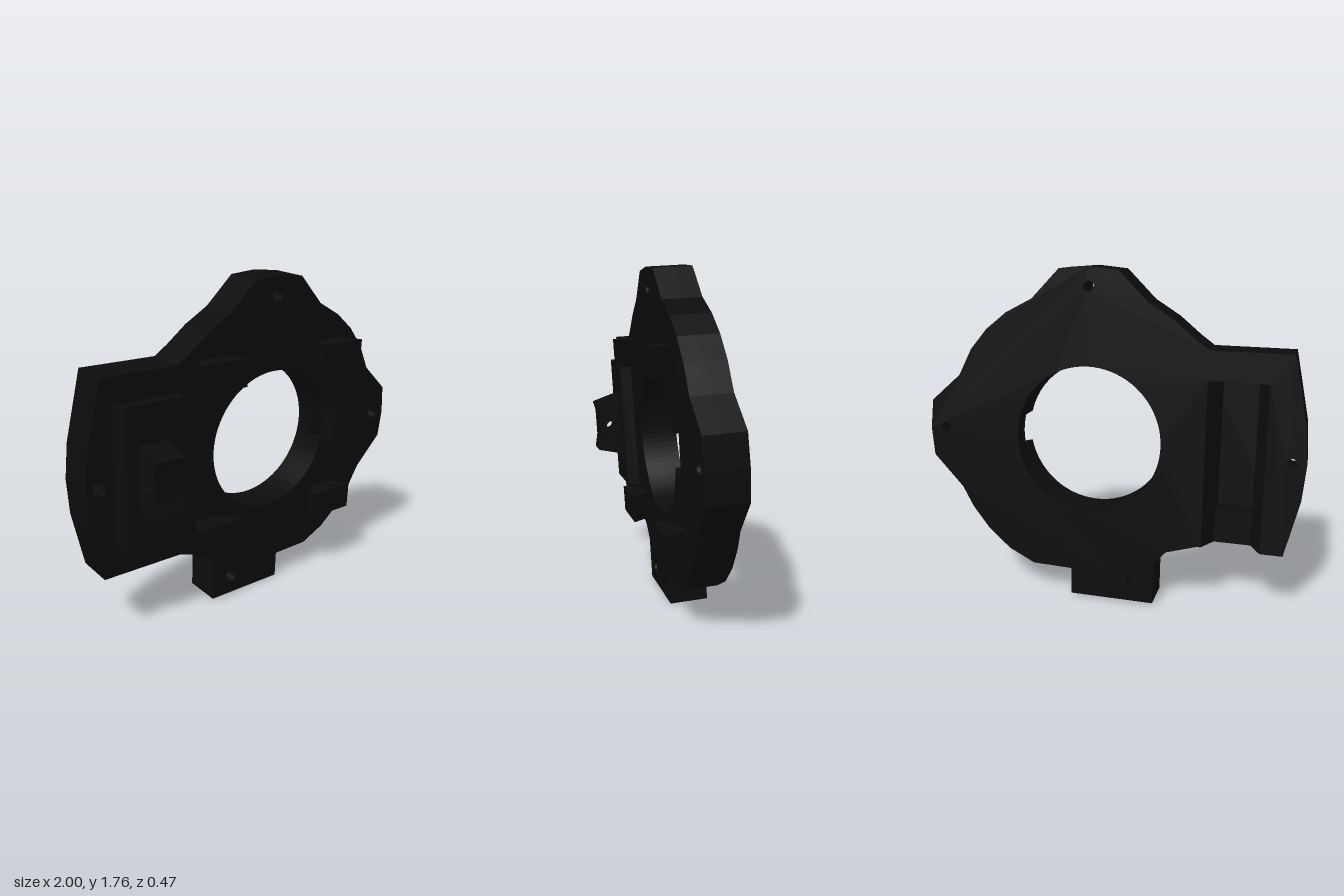
import * as THREE from 'three';

export function createModel() {
  const model = new THREE.Group();
  model.name = 'mountingPlate';
  const black = new THREE.MeshStandardMaterial({ color: 0x0c0c0c });
  black.name = 'matte black';

  // Everything is built upright with the plate's front face at z = 0, then tilted
  const plate = new THREE.Group();
  plate.name = 'tiltedPlate';
  plate.rotation.x = 0.065;
  plate.position.set(0, 0.002, -0.032);
  model.add(plate);

  const add = (name, geometry) => {
    const mesh = new THREE.Mesh(geometry, black);
    mesh.name = name;
    plate.add(mesh);
    return mesh;
  };
  const shapeOf = (points) => new THREE.Shape(points.map(([x, y]) => new THREE.Vector2(x, y)));
  const extrude = (shape, depth) =>
    new THREE.ExtrudeGeometry(shape, { depth, bevelEnabled: false, curveSegments: 40 });
  const circle = (x, y, r) => new THREE.Path().absarc(x, y, r, 0, Math.PI * 2, false);
  // Prism with an x-z cross-section, running upward from y0 to y1
  const prism = (name, section, y0, y1) => {
    const g = extrude(shapeOf(section.map(([x, z]) => [x, -z])), y1 - y0);
    g.rotateX(-Math.PI / 2);
    g.translate(0, y0, 0);
    return add(name, g);
  };

  // Plate outline, split at the lower left edge so the back can be grooved
  const outline = [
    [-0.48, 0.35], [-0.32, 0.3], [-0.255, 0.225], [-0.255, 0], [0.195, 0], [0.195, 0.145],
    [0.41, 0.15], [0.55, 0.22], [0.67, 0.325], [0.76, 0.44], [0.82, 0.55], [0.98, 0.72],
    [0.995, 0.87], [0.98, 1.025], [0.82, 1.17], [0.75, 1.31], [0.66, 1.42], [0.55, 1.51],
    [0.41, 1.585], [0.265, 1.738], [0.11, 1.752], [-0.04, 1.738], [-0.19, 1.59], [-0.32, 1.51],
    [-0.43, 1.42], [-0.5, 1.37], [-0.91, 1.37], [-0.985, 1.02], [-1, 0.835], [-0.985, 0.65],
    [-0.915, 0.35],
  ];
  const groove = [[-0.8, 0.35], [-0.8, 1.22], [-0.5, 1.22], [-0.5, 0.35]];
  const screws = [[0.11, 1.655], [0.905, 0.88], [-0.93, 0.835], [-0.135, 0.105]];
  const cx = 0.11, cy = 0.87, radius = 0.385, half = 0.1;

  // Front layer: bore with a side notch, wide screw holes, window behind the panel
  const front = shapeOf(outline);
  const bore = new THREE.Path();
  bore.absarc(cx, cy, radius, 0.23, Math.PI * 2 - 0.2, false);
  bore.lineTo(0.59, 0.77);
  bore.lineTo(0.59, 0.985);
  bore.closePath();
  const window = new THREE.Path([[-0.745, 0.53], [-0.555, 0.53], [-0.555, 1.22], [-0.745, 1.22]]
    .map(([x, y]) => new THREE.Vector2(x, y)));
  front.holes.push(bore, window, ...screws.map(([x, y]) => circle(x, y, 0.036)));
  add('plateFront', extrude(front, half)).position.z = -half;

  // Back layer: plain bore, narrow screw holes, groove open at the bottom
  const back = shapeOf([...outline, ...groove]);
  back.holes.push(circle(cx, cy, radius), ...screws.map(([x, y]) => circle(x, y, 0.027)));
  add('plateBack', extrude(back, half)).position.z = -2 * half;

  // Sloping sides of the groove
  for (const s of [-1, 1]) {
    prism('grooveSide', [[-0.65 + s * 0.15, -0.2], [-0.65 + s * 0.095, -0.1],
      [-0.65 + s * 0.15, -0.1]], 0.35, 1.22);
  }

  // Raised panel with chamfered sides
  prism('raisedPanel', [[-0.85, 0], [-0.82, 0.06], [-0.51, 0.06], [-0.48, 0]], 0.503, 1.234);

  // Four dovetail blocks, wider at the front
  for (const x of [-0.295, 0.505]) {
    for (const y of [0.365, 1.235]) {
      prism('dovetailBlock', [[x - 0.08, 0], [x - 0.145, 0.1], [x + 0.145, 0.1], [x + 0.08, 0]],
        y, y + 0.145);
    }
  }

  // Pivot lug with a cross hole; profile is drawn in z and y
  const lug = shapeOf([[0.05, 0.673], [0.206, 0.713], [0.19, 0.79], [0.19, 0.943],
    [0.203, 0.993], [0.065, 1.034], [0.05, 1.034]]);
  lug.holes.push(circle(0.122, 0.853, 0.028));
  const lugGeometry = extrude(lug, 0.16);
  lugGeometry.rotateY(-Math.PI / 2);
  add('pivotLug', lugGeometry).position.x = -0.59;

  return model;
}
